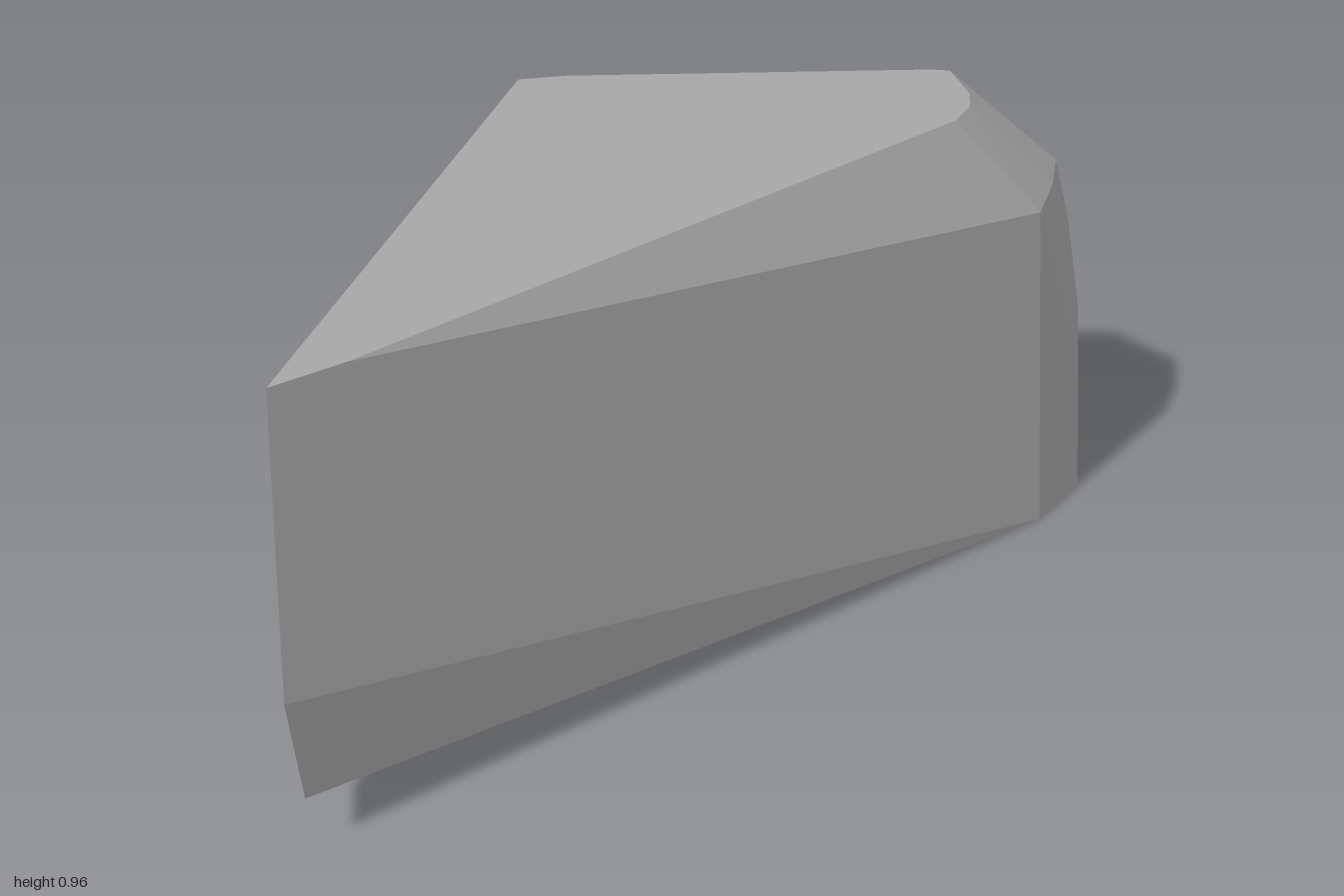
import * as THREE from 'three';
import { ConvexGeometry } from 'three/addons/geometries/ConvexGeometry.js';

export function createModel() {
  const group = new THREE.Group();
  group.name = 'rockFragment';
  const stone = new THREE.MeshStandardMaterial({ color: 0xa6a6a6 });
  stone.name = 'stone grey';

  // Flat cut side at x = -0.65, as [y, z] around its outline
  const cut = [
    [0.96, 0.93], [0.36, 1.0], [0.12, 0.955], [0.03, 0.77], [0.02, 0.03], [0.005, -0.59],
    [0.365, -0.89], [0.47, -0.895], [0.575, -0.87], [0.69, -0.83], [0.85, -0.73], [0.96, -0.59],
  ].map(([y, z]) => [-0.65, y, z]);

  // Flat top, as [x, z]
  const top = [
    [-0.55, 0.81], [0.34, -0.53], [0.36, -0.62], [0.35, -0.7],
    [0.29, -0.835], [0.25, -0.835], [-0.55, -0.635],
  ].map(([x, z]) => [x, 0.96, z]);

  // Flat underside, as [x, z]
  const base = [
    [0.575, -0.52], [0.65, -0.69], [0.61, -0.91], [0.37, -0.955], [-0.19, -0.81],
  ].map(([x, z]) => [x, 0, z]);

  // Worn edges: rounded shoulder, right edge, back corner and back ridge
  const edges = [
    [0.53, 0.745, -0.57],
    [0.545, 0.76, -0.7], [0.585, 0.6, -0.7], [0.62, 0.36, -0.7],
    [0.54, 0.76, -0.845], [0.575, 0.6, -0.88], [0.61, 0.36, -0.92], [0.625, 0.12, -0.93],
    [0.33, 0.76, -0.885], [0.36, 0.6, -0.94], [0.4, 0.36, -0.99], [0.4, 0.12, -1.0],
  ];

  const points = [...cut, ...top, ...base, ...edges].map((p) => new THREE.Vector3(...p));
  const rock = new THREE.Mesh(new ConvexGeometry(points), stone);
  rock.name = 'rock';
  group.add(rock);
  return group;
}
